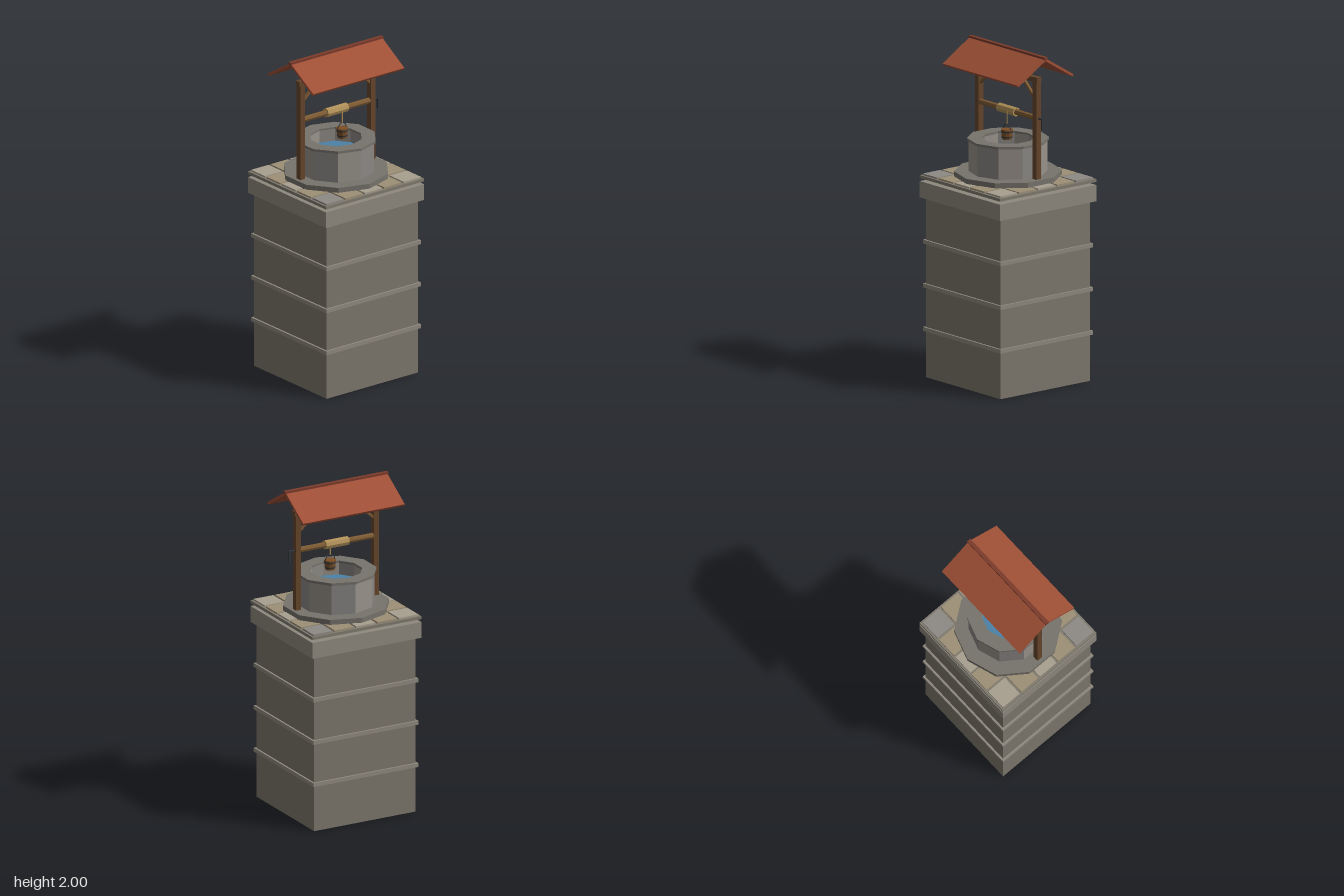
import * as THREE from 'three';

const mat = (color, extra = {}) => new THREE.MeshStandardMaterial({ color, flatShading: true, ...extra });
const M = {
  tower: mat(0x7d776c), trim: mat(0x8f897e), slab: mat(0x807a6e),
  tileLight: mat(0xa8a08f), tileTan: mat(0x9e9076), tileGrey: mat(0x8e8984),
  stoneWarm: mat(0x98928a), stoneCool: mat(0x8a8784), coping: mat(0x77736c),
  water: mat(0x4a82a6), wood: mat(0x65452a), axle: mat(0x7d5a33), rope: mat(0xb09058),
  bucket: mat(0x7d5028), metal: mat(0x33383d), roof: mat(0xa05036), ridge: mat(0x7c3b2b),
};

export function createModel() {
  const model = new THREE.Group();
  model.name = 'wellTower';

  const add = (name, geometry, material, x = 0, y = 0, z = 0) => {
    const mesh = new THREE.Mesh(geometry, material);
    mesh.name = name;
    mesh.position.set(x, y, z);
    model.add(mesh);
    return mesh;
  };
  const box = (name, m, w, y0, y1, d, x = 0, z = 0) =>
    add(name, new THREE.BoxGeometry(w, y1 - y0, d), m, x, (y0 + y1) / 2, z);
  const cyl = (name, m, rTop, rBottom, y0, y1, sides, x = 0, z = 0) =>
    add(name, new THREE.CylinderGeometry(rTop, rBottom, y1 - y0, sides), m, x, (y0 + y1) / 2, z);
  // Round bar between two points
  const rod = (name, m, a, b, r, sides = 8) => {
    const from = new THREE.Vector3(...a), to = new THREE.Vector3(...b);
    const dir = to.clone().sub(from);
    const mesh = add(name, new THREE.CylinderGeometry(r, r, dir.length(), sides), m);
    mesh.position.copy(from).add(to).multiplyScalar(0.5);
    mesh.quaternion.setFromUnitVectors(new THREE.Vector3(0, 1, 0), dir.normalize());
    return mesh;
  };
  // Hollow ring, or one segment of it, with a rectangular section
  const ringGeometry = (rIn, rOut, y0, y1, segments, start = 0, sweep = Math.PI * 2) =>
    new THREE.LatheGeometry(
      [[rIn, y0], [rOut, y0], [rOut, y1], [rIn, y1], [rIn, y0]].map(p => new THREE.Vector2(...p)),
      segments, start, sweep);

  // Tower shaft, string courses and cap
  box('towerShaft', M.tower, 0.68, 0, 1.08, 0.68);
  for (const y of [0.29, 0.552, 0.815]) box('towerBand', M.trim, 0.704, y - 0.012, y + 0.012, 0.704);
  box('towerCap', M.trim, 0.73, 1.08, 1.178, 0.73);

  // Floating courtyard slab with paving
  box('courtyardSlab', M.slab, 0.73, 1.196, 1.214, 0.73);
  for (let i = 0; i < 5; i++) {
    for (let j = 0; j < 5; j++) {
      const m = (i + j) % 2 ? M.tileTan : i + j === 4 && i !== j ? M.tileGrey : M.tileLight;
      box('pavingTile', m, 0.13, 1.21, 1.224, 0.13, (i - 2) * 0.1435, (j - 2) * 0.1435);
    }
  }

  // Ten-sided well
  cyl('wellPlinth', M.coping, 0.315, 0.315, 1.22, 1.254, 10);
  const step = Math.PI / 5;
  for (let i = 0; i < 10; i++) {
    add('wellWallStone', ringGeometry(0.155, 0.23, 1.25, 1.442, 1, i * step, step),
      i % 2 ? M.stoneWarm : M.stoneCool);
  }
  add('wellCoping', ringGeometry(0.155, 0.24, 1.438, 1.453, 10), M.coping);
  cyl('water', M.water, 0.158, 0.158, 1.35, 1.368, 10);

  // Timber frame
  for (const s of [-1, 1]) {
    box('post', M.wood, 0.033, 1.25, 1.868, 0.036, s * 0.262);
    const brace = box('brace', M.axle, 0.015, 0, 0.165, 0.016, s * 0.192);
    brace.position.y = 1.787;
    brace.rotation.z = s * 0.84;
  }
  box('topBeam', M.wood, 0.57, 1.838, 1.866, 0.034);

  // Windlass and crank
  rod('axle', M.axle, [-0.275, 1.62, 0], [0.275, 1.62, 0], 0.018);
  rod('ropeDrum', M.rope, [-0.077, 1.62, 0], [0.077, 1.62, 0], 0.028);
  rod('crankShaft', M.metal, [0.27, 1.62, 0], [0.314, 1.62, 0], 0.006, 6);
  box('crankArm', M.metal, 0.01, 1.557, 1.624, 0.012, 0.312);

  // Bucket hanging on the rope
  const bx = 0.024, bz = 0.027;
  rod('rope', M.rope, [bx, 1.54, bz], [bx, 1.62, bz], 0.004, 6);
  cyl('bucket', M.bucket, 0.036, 0.029, 1.452, 1.512, 10, bx, bz);
  cyl('bucketBand', M.metal, 0.0365, 0.0355, 1.494, 1.502, 10, bx, bz);
  cyl('bucketBand', M.metal, 0.0325, 0.0315, 1.463, 1.471, 10, bx, bz);
  add('bucketHandle', new THREE.TorusGeometry(0.031, 0.003, 5, 12, Math.PI), M.metal, bx, 1.511, bz);

  // Pitched roof
  const pitch = 0.547;
  for (const s of [-1, 1]) {
    const panel = add('roofPanel', new THREE.BoxGeometry(0.68, 0.015, 0.245), M.roof, 0, 1.922, s * 0.105);
    panel.rotation.x = s * pitch;
  }
  box('roofRidge', M.ridge, 0.69, 1.982, 2, 0.024);

  return model;
}
